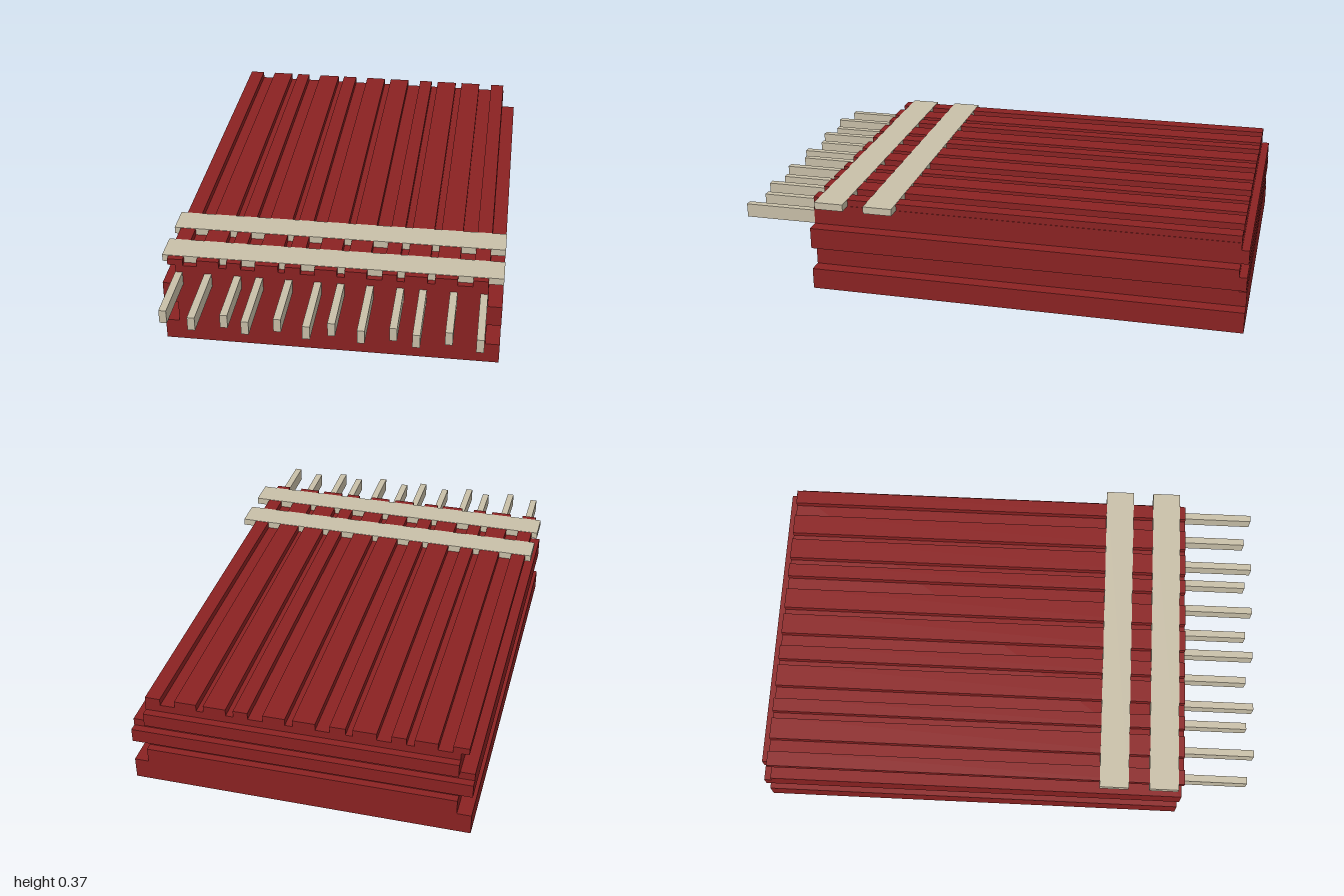
import * as THREE from 'three';

const red = new THREE.MeshStandardMaterial({ color: 0x8b2222 });
red.name = 'barn red';
const beige = new THREE.MeshStandardMaterial({ color: 0xc9c0a9 });
beige.name = 'pale beige';

// Box given by its limits along each axis
function block(name, material, [x0, x1], [y0, y1], [z0, z1]) {
  const mesh = new THREE.Mesh(new THREE.BoxGeometry(x1 - x0, y1 - y0, z1 - z0), material);
  mesh.position.set((x0 + x1) / 2, (y0 + y1) / 2, (z0 + z1) / 2);
  mesh.name = name;
  return mesh;
}

export function createModel() {
  const model = new THREE.Group();
  model.name = 'groovedPlatform';
  const wide = 0.655, narrow = 0.6, front = 0.712, back = -1, inset = -0.97;

  // Stacked layers: side grooves come from half width, rear grooves from the back limit
  const body = new THREE.Group();
  body.name = 'body';
  const layers = [
    [0, 0.085, wide, back],
    [0.085, 0.145, narrow, back],
    [0.145, 0.175, narrow, inset],
    [0.175, 0.23, wide, back],
    [0.23, 0.26, wide, inset],
    [0.26, 0.315, narrow, back],
    [0.315, 0.345, narrow, inset],
  ];
  for (const [y0, y1, w, z0] of layers) {
    body.add(block('bodyLayer', red, [-w, w], [y0, y1], [z0, front]));
  }
  model.add(body);

  // Lengthwise deck slats separated by alternating narrow and wide grooves
  const slats = new THREE.Group();
  slats.name = 'deckSlats';
  const spans = [
    [-0.63, -0.57], [-0.516, -0.43], [-0.4, -0.345], [-0.29, -0.2],
    [-0.174, -0.114], [-0.06, 0.026], [0.055, 0.14], [0.198, 0.254],
    [0.283, 0.37], [0.398, 0.483], [0.54, 0.598],
  ];
  for (const span of spans) {
    slats.add(block('deckSlat', red, span, [0.345, 0.372], [inset, front]));
  }
  model.add(slats);

  // Two cross beams let into the deck
  for (const z of [0.43, 0.63]) {
    model.add(block('crossBeam', beige, [-wide, wide], [0.3452, 0.3735], [z - 0.058, z + 0.058]));
  }

  // Projecting front tongues of alternating length
  const tongues = new THREE.Group();
  tongues.name = 'frontTongues';
  const centres = [-0.587, -0.473, -0.358, -0.273, -0.159, -0.047, 0.041, 0.153, 0.268, 0.354, 0.47, 0.584];
  centres.forEach((x, i) => {
    const end = i % 2 ? 1 : 0.97;
    tongues.add(block('frontTongue', beige, [x - 0.014, x + 0.014], [0.26, 0.315], [front - 0.02, end]));
  });
  model.add(tongues);

  return model;
}
